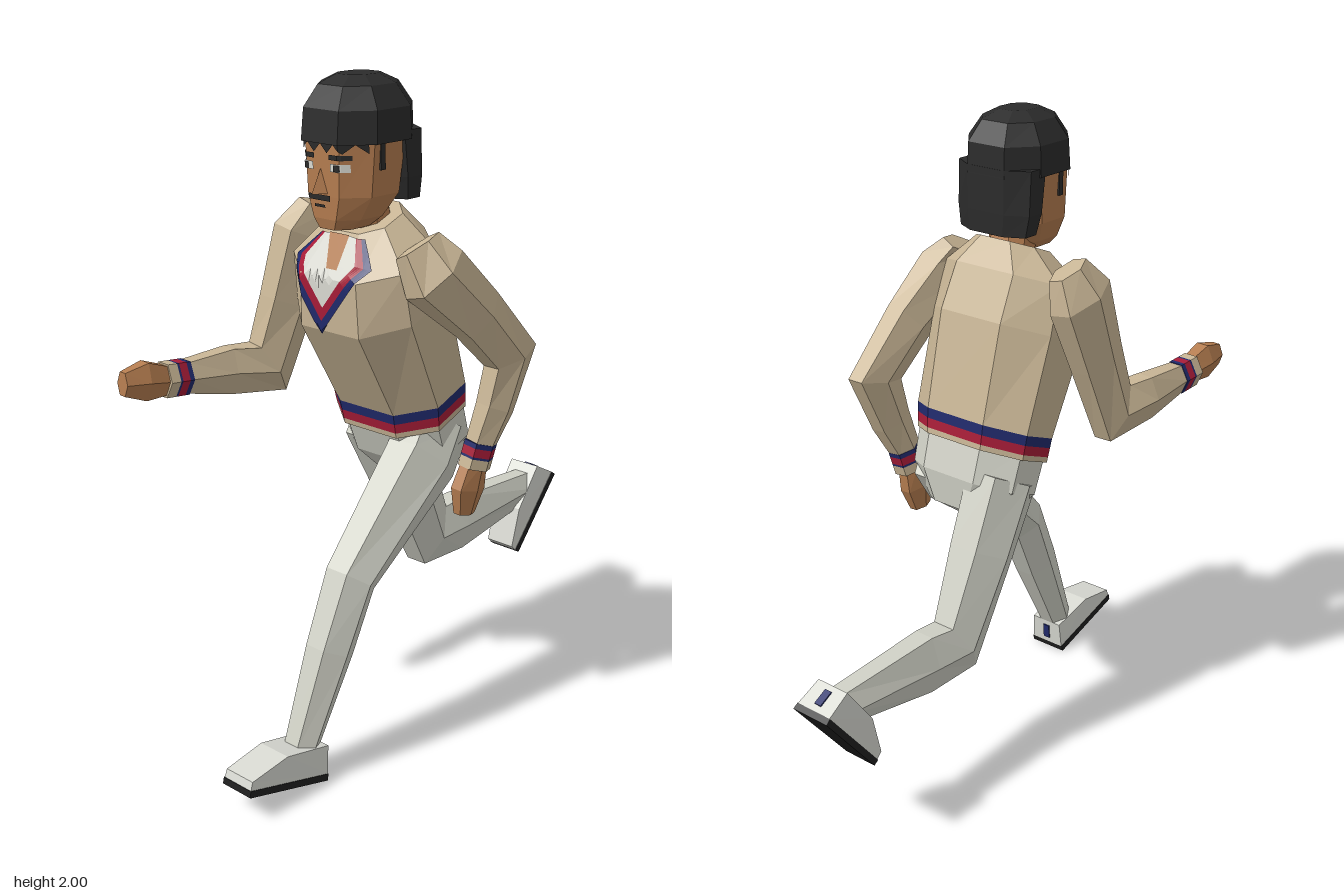
import * as THREE from 'three';

const mat = (name, color) => Object.assign(new THREE.MeshStandardMaterial({ color, flatShading: true }), { name });
const V = (x, y, z) => new THREE.Vector3(x, y, z);
const HEX = [[1, 0], [0.5, 1], [-0.5, 1], [-1, 0], [-0.5, -1], [0.5, -1]];
const OCT = [[1, -0.45], [1, 0.45], [0.5, 1], [-0.5, 1], [-1, 0.45], [-1, -0.45], [-0.5, -1], [0.5, -1]];

// Skin a row of sections [x, y, z, halfWidth, halfDepth]; rings follow the path or a fixed axis
function loft(sections, shape = HEX, axis = null) {
  const n = shape.length, pos = [], idx = [];
  const c = sections.map(s => V(s[0], s[1], s[2]));
  const dir = i => c[i + 1].clone().sub(c[i]).normalize();
  sections.forEach((s, i) => {
    const t = axis ? axis.clone() : V(0, 0, 0);
    if (!axis && i > 0) t.add(dir(i - 1));
    if (!axis && i < c.length - 1) t.add(dir(i));
    t.normalize();
    const side = V(1, 0, 0).addScaledVector(t, -t.x).normalize();
    const deep = t.clone().cross(side);
    for (const [a, b] of shape)
      pos.push(...c[i].clone().addScaledVector(side, a * s[3]).addScaledVector(deep, b * s[4]).toArray());
  });
  for (let i = 0; i < sections.length - 1; i++)
    for (let j = 0; j < n; j++) {
      const a = i * n + j, b = i * n + (j + 1) % n;
      idx.push(a, b, b + n, a, b + n, a + n);
    }
  const last = (sections.length - 1) * n;
  for (let j = 1; j < n - 1; j++) idx.push(0, j + 1, j, last, last + j, last + j + 1);
  const g = new THREE.BufferGeometry();
  g.setAttribute('position', new THREE.Float32BufferAttribute(pos, 3));
  g.setIndex(idx);
  g.computeVertexNormals();
  return g;
}

// Thin patch between two polylines (x, y), laid on the front of a mesh
function patch(target, lineA, lineB, lift = 0.004) {
  const ray = new THREE.Raycaster(), pos = [], idx = [], cols = (lineA.length - 1) * 6, rows = 4;
  target.updateMatrixWorld();
  const at = (line, k) => {
    const i = Math.min(Math.floor(k / 6), line.length - 2), f = k / 6 - i;
    return [0, 1].map(q => line[i][q] + (line[i + 1][q] - line[i][q]) * f);
  };
  let z = 0.26;
  for (let k = 0; k <= cols; k++)
    for (let r = 0; r <= rows; r++) {
      const a = at(lineA, k), b = at(lineB, k), f = r / rows;
      const x = a[0] + (b[0] - a[0]) * f, y = a[1] + (b[1] - a[1]) * f;
      ray.set(V(x, y, 2), V(0, 0, -1));
      const hit = ray.intersectObject(target)[0];
      if (hit) z = hit.point.z;
      pos.push(x, y, z + lift);
      if (k < cols && r < rows) {
        const p = k * (rows + 1) + r, q = p + rows + 1;
        idx.push(p, p + 1, q + 1, p, q + 1, q);
      }
    }
  const g = new THREE.BufferGeometry();
  g.setAttribute('position', new THREE.Float32BufferAttribute(pos, 3));
  g.setIndex(idx);
  g.computeVertexNormals();
  return g;
}

export function createModel() {
  const model = new THREE.Group();
  const skin = mat('skin', 0xb57d50), hair = mat('hair', 0x2b2b2b), wool = mat('wool', 0xc8b595);
  const cloth = mat('trouser cloth', 0xcfd0c5), red = mat('red', 0xa81c38), navy = mat('navy', 0x202a6c);
  const white = mat('white', 0xdcdcd4), black = mat('sole black', 0x1f1f1f), shoeMat = mat('shoe', 0xd8d9d2);
  for (const m of [red, navy, white, hair]) m.side = THREE.DoubleSide;
  const add = (name, geo, material, parent = model) => {
    const m = new THREE.Mesh(geo, material);
    m.name = name;
    parent.add(m);
    return m;
  };

  // Torso, leaning forward
  const lean = V(0, 0.93, 0.37).normalize(), up = V(0, 1, 0);
  const hem = [0.02, 0.998, 0.032, 0.208, 0.142], belt = [0.02, 1.075, 0.045, 0.215, 0.146];
  const body = add('sweaterBody', loft([
    belt, [0.02, 1.355, 0.155, 0.225, 0.187], [0.02, 1.5, 0.19, 0.215, 0.155], [0.025, 1.6, 0.185, 0.11, 0.09],
  ], OCT, lean), wool);
  const between = f => hem.map((v, i) => v + (belt[i] - v) * f);
  [['hem', wool, 0, 0.22], ['redWaistStripe', red, 0.22, 0.6], ['navyWaistStripe', navy, 0.6, 1]].forEach(
    ([name, m, a, b]) => add(name, loft([between(a), between(b)], OCT, lean), m));
  add('pelvis', loft([
    [0.02, 0.81, -0.035, 0.12, 0.09], [0.02, 0.9, -0.005, 0.195, 0.13], [0.02, 1.02, 0.035, 0.2, 0.135],
  ], OCT, lean), cloth);

  // V-shaped collar
  const navyLine = [[-0.065, 1.555], [-0.155, 1.48], [-0.01, 1.275], [0.155, 1.48], [0.105, 1.555]];
  const redLine = [[-0.06, 1.556], [-0.128, 1.483], [-0.006, 1.315], [0.132, 1.483], [0.095, 1.556]];
  const innerLine = [[-0.045, 1.557], [-0.1, 1.488], [0, 1.355], [0.108, 1.488], [0.08, 1.557]];
  const middle = [[-0.02, 1.56], [0, 1.52], [0.01, 1.5], [0.03, 1.52], [0.05, 1.56]];
  add('collarNavy', patch(body, redLine, navyLine, 0.006), navy);
  add('collarRed', patch(body, innerLine, redLine, 0.006), red);
  add('undershirt', patch(body, middle, innerLine, 0.006), white);
  add('throat', patch(body, [[-0.02, 1.562], [0.055, 1.562]], [[0.01, 1.47], [0.05, 1.47]], 0.009),
    Object.assign(skin, { side: THREE.DoubleSide }));

  // Head and hair
  const cx = 0.028;
  add('neck', loft([[cx, 1.52, 0.165, 0.07, 0.065], [cx, 1.68, 0.2, 0.065, 0.06]], OCT), skin);
  const head = add('head', loft([
    [cx, 1.585, 0.265, 0.055, 0.075], [cx, 1.615, 0.25, 0.085, 0.098], [cx, 1.68, 0.23, 0.118, 0.122],
    [cx, 1.83, 0.22, 0.127, 0.135], [cx, 1.9, 0.22, 0.12, 0.13],
  ], OCT, up), skin);
  add('hairCap', loft([
    [cx, 1.825, 0.213, 0.137, 0.154], [cx, 1.915, 0.21, 0.133, 0.148],
    [cx, 1.975, 0.21, 0.095, 0.11], [cx, 2.0, 0.21, 0.05, 0.06],
  ], OCT, up), hair);
  add('backHair', loft([
    [cx, 1.655, 0.118, 0.122, 0.056], [cx, 1.72, 0.125, 0.133, 0.065], [cx, 1.85, 0.135, 0.134, 0.076],
  ], OCT, up), hair);
  const zig = [], zigTop = [];
  for (let i = 0; i <= 10; i++) {
    const x = cx - 0.12 + i * 0.024;
    zig.push([x, i % 2 ? 1.825 : 1.8]);
    zigTop.push([x, 1.832]);
  }
  add('fringe', patch(head, zigTop, zig, 0.008), hair);

  // Face
  const plate = (name, x, y, w, h, m, lift) =>
    add(name, patch(head, [[x - w, y + h], [x + w, y + h]], [[x - w, y - h], [x + w, y - h]], lift), m);
  for (const s of [-1, 1]) {
    plate('eyebrow', cx + s * 0.058, 1.789, 0.03, 0.007, hair);
    plate('eye', cx + s * 0.058, 1.761, 0.026, 0.011, white);
    plate('pupil', cx + s * 0.056, 1.761, 0.01, 0.009, hair, 0.007);
    add('sideburn', new THREE.BoxGeometry(0.006, 0.075, 0.018), hair).position.set(cx + s * 0.126, 1.79, 0.25);
  }
  plate('moustache', cx - 0.012, 1.675, 0.04, 0.008, hair);
  plate('mouth', cx - 0.012, 1.652, 0.02, 0.004, hair);
  const nose = add('nose', new THREE.ConeGeometry(0.032, 0.075, 4), skin);
  nose.scale.set(0.8, 1, 1.25);
  nose.position.set(cx - 0.008, 1.725, 0.35);

  // Arms: sleeve, striped cuff, hand
  function arm(name, sleeve, along, hand) {
    const g = new THREE.Group();
    g.name = name;
    model.add(g);
    add('sleeve', loft(sleeve), wool, g);
    const w = sleeve[sleeve.length - 1], d = along.normalize();
    const ring = s => [w[0] + d.x * s, w[1] + d.y * s, w[2] + d.z * s, 0.047, 0.049];
    [['cuffNavy', navy, -0.005, 0.01], ['cuffRed', red, 0.01, 0.036], ['cuffNavy', navy, 0.036, 0.043],
      ['cuffEnd', wool, 0.043, 0.075]].forEach(([n, m, a, b]) => add(n, loft([ring(a), ring(b)]), m, g));
    add('hand', loft(hand), skin, g);
  }
  arm('rightArm', [
    [-0.235, 1.585, 0.11, 0.05, 0.06], [-0.26, 1.5, 0.14, 0.075, 0.1], [-0.275, 1.3, 0.21, 0.066, 0.085],
    [-0.292, 1.11, 0.28, 0.065, 0.09], [-0.315, 1.125, 0.42, 0.055, 0.068], [-0.325, 1.14, 0.58, 0.044, 0.046],
  ], V(-0.01, 0.015, 0.16), [
    [-0.325, 1.145, 0.64, 0.034, 0.04], [-0.332, 1.16, 0.72, 0.042, 0.055], [-0.338, 1.165, 0.79, 0.026, 0.034],
  ]);
  arm('leftArm', [
    [0.245, 1.55, 0.21, 0.05, 0.07], [0.285, 1.47, 0.185, 0.08, 0.095], [0.312, 1.33, 0.03, 0.066, 0.08],
    [0.322, 1.18, -0.115, 0.055, 0.09], [0.312, 1.03, -0.06, 0.052, 0.06], [0.295, 0.925, -0.018, 0.045, 0.046],
  ], V(-0.015, -0.12, 0.03), [
    [0.287, 0.87, 0.0, 0.034, 0.04], [0.28, 0.79, 0.02, 0.038, 0.056], [0.275, 0.712, 0.03, 0.026, 0.034],
  ]);

  // Legs
  add('leftLeg', loft([
    [0.13, 0.96, -0.01, 0.095, 0.11], [0.133, 0.86, 0.06, 0.102, 0.112], [0.135, 0.575, 0.375, 0.08, 0.07],
    [0.135, 0.38, 0.465, 0.07, 0.066], [0.127, 0.11, 0.58, 0.053, 0.046],
  ]), cloth);
  add('rightLeg', loft([
    [-0.09, 0.93, 0.0, 0.105, 0.11], [-0.092, 0.72, -0.1, 0.098, 0.098], [-0.095, 0.455, -0.23, 0.075, 0.1],
    [-0.092, 0.455, -0.37, 0.066, 0.092], [-0.088, 0.475, -0.73, 0.053, 0.052],
  ]), cloth);

  // Shoes, side profile extruded and narrowed toward the toe
  function sideProfile(points, half) {
    const g = new THREE.ExtrudeGeometry(new THREE.Shape(points.map(p => new THREE.Vector2(...p))),
      { depth: half * 2, bevelEnabled: false });
    g.translate(0, 0, -half).rotateY(-Math.PI / 2);
    const p = g.attributes.position;
    for (let i = 0; i < p.count; i++) p.setX(i, p.getX(i) * (1 - 0.8 * Math.max(0, p.getZ(i) - 0.15)) * (1 - p.getY(i)));
    g.computeVertexNormals();
    return g;
  }
  function shoe(name, x, y, z, pitch) {
    const g = new THREE.Group();
    g.name = name;
    add('upper', sideProfile([[0, 0.02], [0.306, 0.02], [0.304, 0.045], [0.18, 0.1], [0.015, 0.107]], 0.063), shoeMat, g);
    add('sole', sideProfile([[0, 0], [0.306, 0], [0.308, 0.02], [0, 0.02]], 0.065), black, g);
    const tab = add('heelTab', new THREE.BoxGeometry(0.024, 0.05, 0.006), navy, g);
    tab.position.set(0, 0.064, 0.006);
    tab.rotation.x = 0.17;
    g.position.set(x, y, z);
    g.rotation.x = pitch;
    model.add(g);
  }
  shoe('leftShoe', 0.13, 0.002, 0.543, -0.265);
  shoe('rightShoe', -0.09, 0.5, -0.84, 0.902);
  return model;
}
